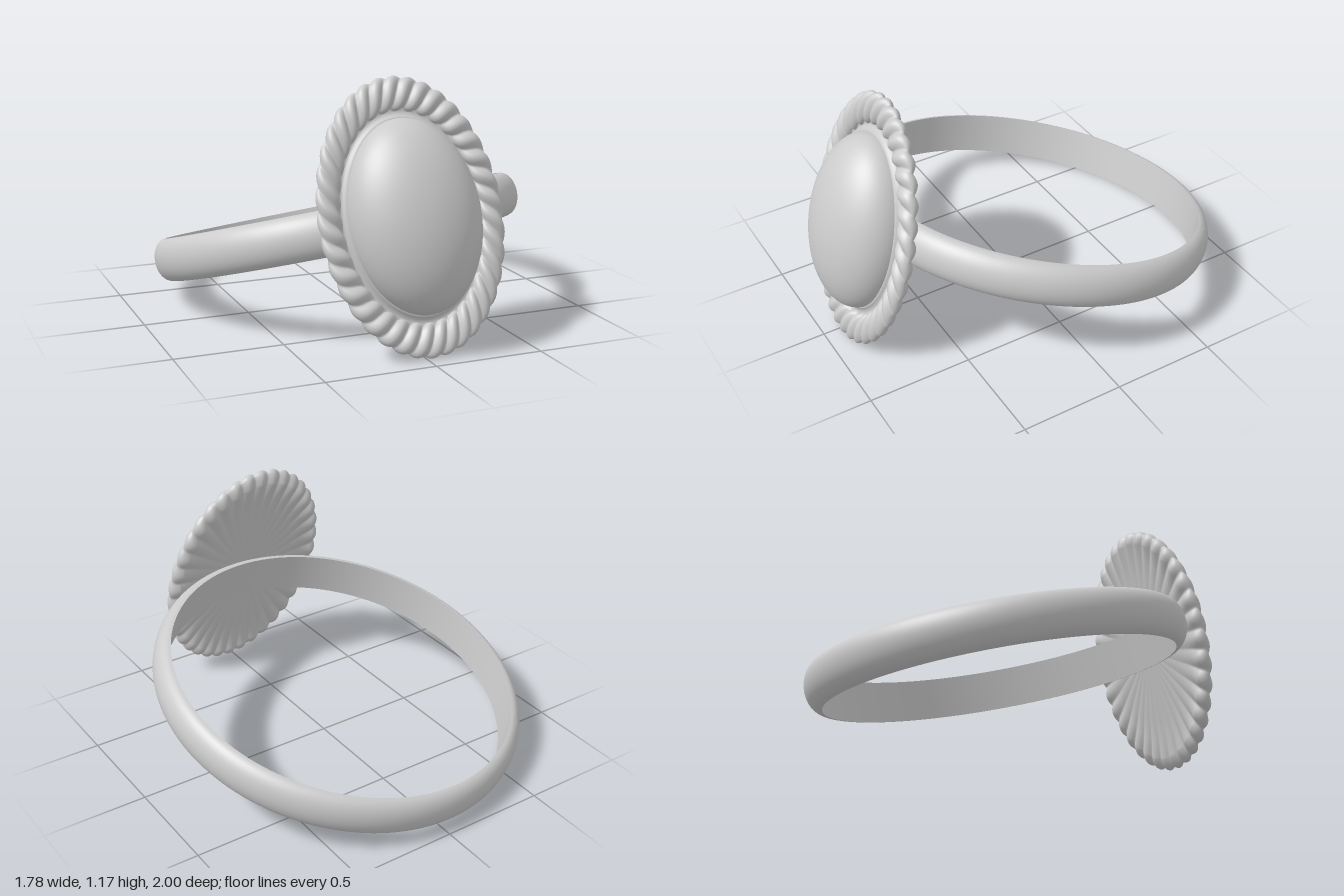
import * as THREE from 'three';
import { toCreasedNormals } from 'three/addons/utils/BufferGeometryUtils.js';

const material = new THREE.MeshStandardMaterial({ color: 0xcccccc });
const HALF_W = 0.43, HALF_H = 0.61; // half axes of the oval plate
const LOBES = 36;

function part(name, geometry) {
  const mesh = new THREE.Mesh(geometry, material);
  mesh.name = name;
  return mesh;
}

// D-shaped band: flat inside, domed outside
function bandGeometry() {
  const profile = [];
  for (let i = 0; i <= 20; i++) {
    const a = -Math.PI / 2 + (Math.PI * i) / 20;
    profile.push(new THREE.Vector2(0.828 + 0.067 * Math.cos(a), 0.102 * Math.sin(a)));
  }
  profile.push(profile[0].clone());
  return toCreasedNormals(new THREE.LatheGeometry(profile, 144), 0.7);
}

// One point of the plate's cross-section: scale of the oval and depth
function ropeSection(phi, theta) {
  const lobe = Math.abs(Math.sin((LOBES / 2) * theta - 1.2 * Math.max(phi, 0)));
  return [
    0.875 + 0.125 * Math.cos(phi) * (0.82 + 0.18 * lobe),
    0.042 * Math.sin(phi) * (0.5 + 0.5 * lobe),
  ];
}

// Oval plate: ribbed back, twisted rope rim and shallow groove, skinned in one sweep
function plateGeometry() {
  const rows = [];
  const back = [0, 0.2, 0.4, 0.6, 0.75];
  for (const k of back) {
    rows.push((theta) => {
      const lobe = Math.abs(Math.sin((LOBES / 2) * theta));
      return [k, -0.026 - 0.009 * k * k * (lobe - 0.5)];
    });
  }
  const steps = 26;
  for (let i = 0; i <= steps; i++) {
    const phi = THREE.MathUtils.lerp(-1.45, Math.PI, i / steps);
    rows.push((theta) => ropeSection(phi, theta));
  }
  const groove = [[0.745, -0.002], [0.725, 0.002], [0.71, 0.01], [0.695, 0.022], [0.6, 0.022]];
  for (const p of groove) rows.push(() => p);

  const segments = LOBES * 12;
  const positions = [], indices = [];
  rows.forEach((row, j) => {
    for (let i = 0; i < segments; i++) {
      const theta = (2 * Math.PI * i) / segments;
      const [k, z] = row(theta);
      positions.push(HALF_W * k * Math.cos(theta), HALF_H * k * Math.sin(theta), z);
      if (j === rows.length - 1) continue;
      const a = j * segments + i, b = j * segments + ((i + 1) % segments);
      if (j > 0) indices.push(a, b, b + segments);
      indices.push(a, b + segments, a + segments);
    }
  });
  const geometry = new THREE.BufferGeometry();
  geometry.setAttribute('position', new THREE.Float32BufferAttribute(positions, 3));
  geometry.setIndex(indices);
  geometry.computeVertexNormals();
  // The back centre is a single point, so its normals face straight back
  for (let i = 0; i < segments; i++) geometry.attributes.normal.setXYZ(i, 0, 0, -1);
  return geometry;
}

export function createModel() {
  const model = new THREE.Group();
  model.name = 'ring';

  // Everything leans back and rolls slightly to one side
  const tilted = new THREE.Group();
  tilted.name = 'tiltedRing';
  tilted.position.set(0, 0.36, -0.13);
  tilted.rotation.set(-0.27, 0, 0.1);
  model.add(tilted);

  tilted.add(part('band', bandGeometry()));

  const setting = new THREE.Group();
  setting.name = 'setting';
  setting.position.z = 0.909;
  setting.add(part('ropeEdgedPlate', plateGeometry()));

  // Smooth domed stone
  const dome = new THREE.SphereGeometry(1, 64, 32, 0, Math.PI * 2, 0, Math.PI / 2);
  dome.rotateX(Math.PI / 2);
  dome.scale(0.3, 0.424, 0.215);
  const stone = part('stone', dome);
  stone.position.z = 0.02;
  setting.add(stone);
  tilted.add(setting);

  return model;
}
